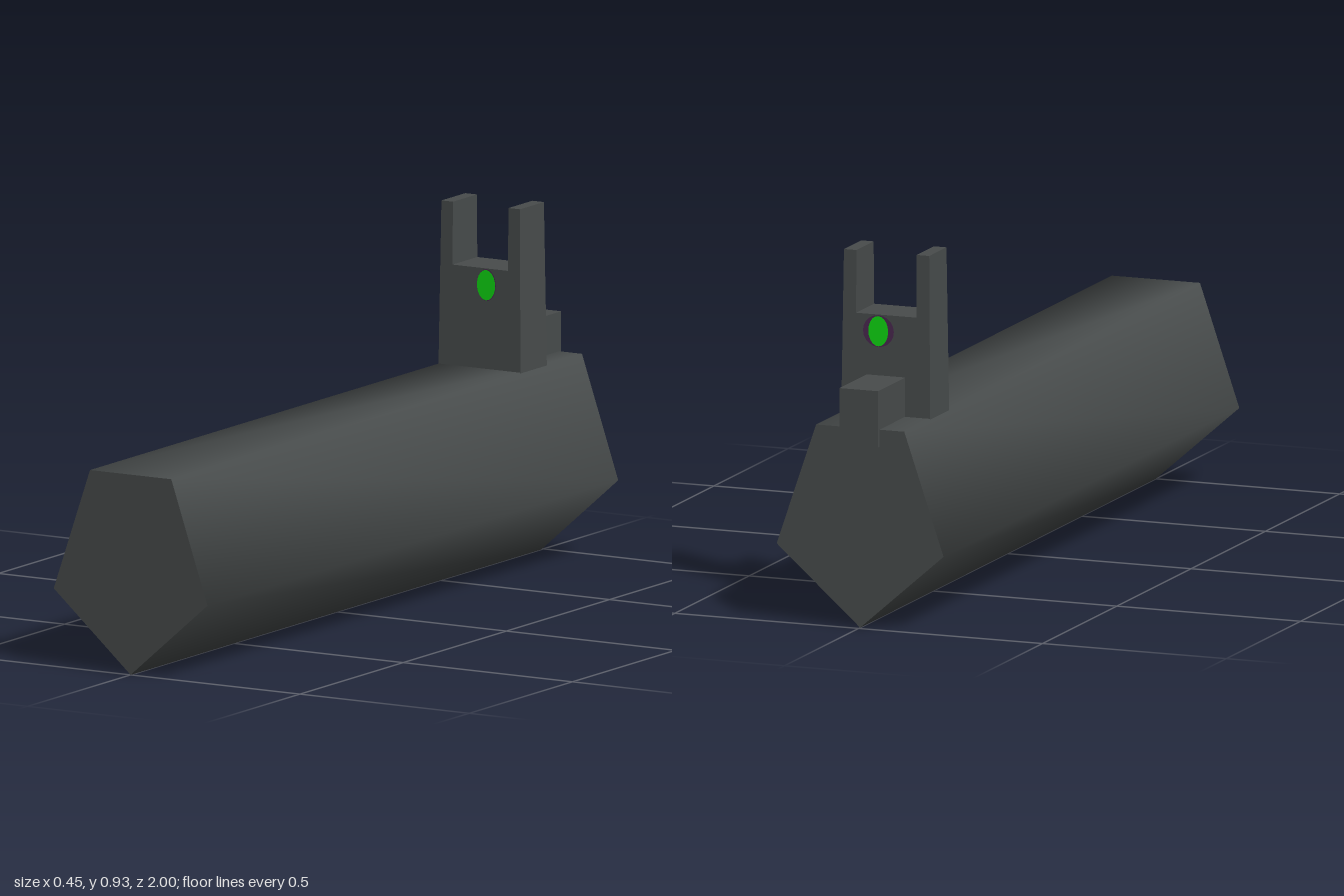
import * as THREE from 'three';

const gunmetal = new THREE.MeshStandardMaterial({ name: 'gunmetal', color: 0x484c4c });
const green = new THREE.MeshStandardMaterial({ name: 'glowGreen', color: 0x0fd812 });
const purple = new THREE.MeshStandardMaterial({ name: 'darkPurple', color: 0x4a2850 });

function add(group, name, geometry, material, x = 0, y = 0, z = 0) {
  const mesh = new THREE.Mesh(geometry, material);
  mesh.name = name;
  mesh.position.set(x, y, z);
  group.add(mesh);
  return mesh;
}

// Five-sided bar: sides share vertices for smooth shading, ends stay flat
const section = [[0, 0], [0.227, 0.2], [0.12, 0.514], [-0.12, 0.514], [-0.227, 0.2]];
const FRONT = 1, BACK = -0.99;

function barSides() {
  const positions = [], index = [], n = section.length;
  for (const z of [FRONT, BACK]) for (const [x, y] of section) positions.push(x, y, z);
  for (let i = 0; i < n; i++) {
    const j = (i + 1) % n;
    index.push(i, i + n, j, j, i + n, j + n);
  }
  const g = new THREE.BufferGeometry();
  g.setAttribute('position', new THREE.Float32BufferAttribute(positions, 3));
  g.setIndex(index);
  g.computeVertexNormals();
  return g;
}

// Notched plate, tapering slightly towards the top
function sightPlate() {
  const outline = [[-0.121, 0.512], [0.121, 0.512], [0.116, 0.932], [0.082, 0.932],
    [0.082, 0.771], [-0.082, 0.771], [-0.082, 0.932], [-0.116, 0.932]];
  const shape = new THREE.Shape(outline.map(([x, y]) => new THREE.Vector2(x, y)));
  const g = new THREE.ExtrudeGeometry(shape, { depth: 1, bevelEnabled: false });
  const p = g.attributes.position;
  for (let i = 0; i < p.count; i++) {
    const t = (p.getY(i) - 0.512) / 0.42;
    const half = 0.064 - 0.006 * t;
    p.setZ(i, -0.754 + (p.getZ(i) - 0.5) * 2 * half);
  }
  g.computeVertexNormals();
  return g;
}

export function createModel() {
  const model = new THREE.Group();
  model.name = 'barWithNotchedSight';

  // Long bar with its two end faces
  const bar = new THREE.Group();
  bar.name = 'bar';
  model.add(bar);
  add(bar, 'barSides', barSides(), gunmetal);
  const cap = new THREE.ShapeGeometry(new THREE.Shape(section.map(([x, y]) => new THREE.Vector2(x, y))));
  add(bar, 'frontEnd', cap, gunmetal, 0, 0, FRONT);
  add(bar, 'backEnd', cap, gunmetal, 0, 0, BACK).rotation.y = Math.PI;

  // Sight and the block that hooks over the back end
  add(model, 'sightPlate', sightPlate(), gunmetal);
  add(model, 'sightBracket', new THREE.BoxGeometry(0.105, 0.145, 0.19), gunmetal, 0, 0.5425, -0.905);

  // Green dot on both faces of the plate, with a dark rim
  const dot = new THREE.CircleGeometry(1, 20);
  for (const [side, z, rim] of [[1, -0.692, 0.028], [-1, -0.816, 0.042]]) {
    const name = side > 0 ? 'front' : 'back';
    const disc = add(model, name + 'Dot', dot, green, 0.02, 0.729, z + side * 0.003);
    disc.scale.set(0.027, 0.039, 1);
    const ring = add(model, name + 'DotRim', dot, purple, 0.02, 0.729, z + side * 0.0015);
    ring.scale.set(rim, 0.041, 1);
    if (side < 0) disc.rotation.y = ring.rotation.y = Math.PI;
  }
  return model;
}
